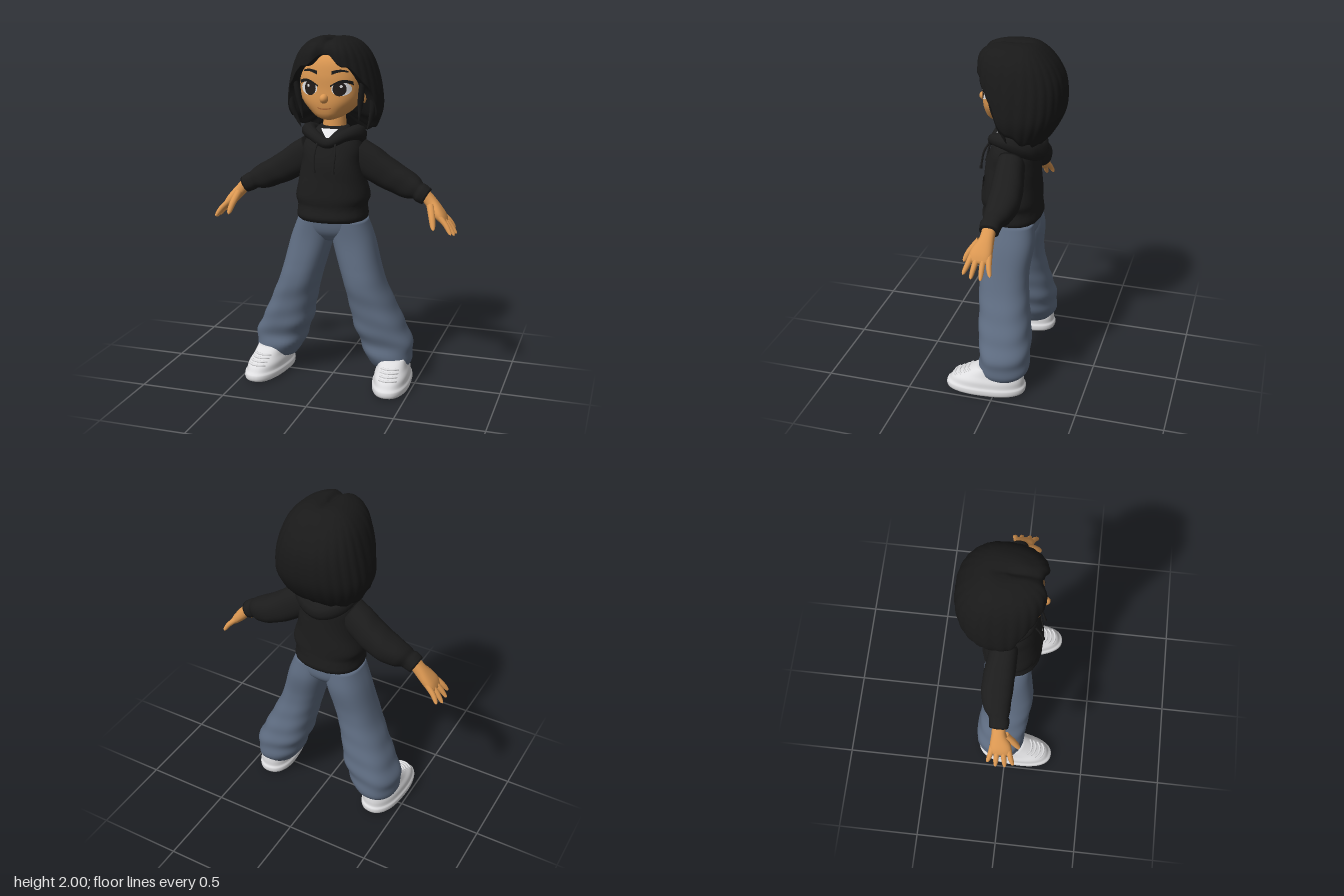
import * as THREE from 'three';

const mat = (name, color) => {
  const m = new THREE.MeshStandardMaterial({ color, side: THREE.DoubleSide });
  m.name = name;
  return m;
};
const V = (x, y, z) => new THREE.Vector3(x, y, z);
const P = 2.35; // roundness of the cross-sections

// Smooth interpolation of rows [y, cx, cz, rx, rFront, rBack] at height y
function at(keys, y) {
  const n = keys.length;
  y = THREE.MathUtils.clamp(y, keys[0][0], keys[n - 1][0]);
  let i = 0;
  while (i < n - 2 && y > keys[i + 1][0]) i++;
  const a = keys[i], b = keys[i + 1], h = b[0] - a[0], t = (y - a[0]) / h;
  const slope = (k, c) => {
    const p = keys[Math.max(0, k - 1)], q = keys[Math.min(n - 1, k + 1)];
    return (q[c] - p[c]) / (q[0] - p[0]);
  };
  return a.map((v, c) => c === 0 ? y :
    v * (1 + 2 * t) * (1 - t) ** 2 + b[c] * t * t * (3 - 2 * t) +
    h * (slope(i, c) * t * (1 - t) ** 2 - slope(i + 1, c) * t * t * (1 - t)));
}
const pw = (v) => Math.sign(v) * Math.abs(v) ** (2 / P);
function ringPoint(keys, y, a, k = 1) {
  const [, cx, cz, rx, rf, rb] = at(keys, y), c = Math.cos(a);
  return V(cx + k * rx * pw(Math.sin(a)), y, cz + k * (c > 0 ? rf : rb) * pw(c));
}
// Front surface depth of a lofted body
function front(keys, x, y) {
  const [, cx, cz, rx, rf] = at(keys, y);
  const u = Math.min(1, Math.abs((x - cx) / rx));
  return cz + rf * (1 - u ** P) ** (1 / P);
}
// Closed skin over rings listed from bottom to top
function skinOver(rings) {
  const n = rings[0].length, pts = rings.flat(), idx = [];
  for (let i = 0; i < rings.length - 1; i++) for (let j = 0; j < n; j++) {
    const k = (j + 1) % n, a = i * n + j, b = i * n + k, c = a + n, d = b + n;
    idx.push(a, b, d, a, d, c);
  }
  const centre = (r) => r.reduce((s, p) => s.add(p), V(0, 0, 0)).divideScalar(n);
  const last = (rings.length - 1) * n, lo = pts.length;
  pts.push(centre(rings[0]), centre(rings[rings.length - 1]));
  for (let j = 0; j < n; j++) {
    const k = (j + 1) % n;
    idx.push(lo, k, j, lo + 1, last + j, last + k);
  }
  const g = new THREE.BufferGeometry().setFromPoints(pts);
  g.setIndex(idx);
  g.computeVertexNormals();
  return g;
}
function loft(keys, steps = 24, n = 36, fold = () => 1) {
  const y0 = keys[0][0], y1 = keys[keys.length - 1][0];
  return skinOver(Array.from({ length: steps + 1 }, (_, i) => {
    const y = y0 + (y1 - y0) * i / steps;
    return Array.from({ length: n }, (_, j) => {
      const a = j / n * Math.PI * 2;
      return ringPoint(keys, y, a, fold(a, y));
    });
  }));
}
// Tube whose radius follows a rule along its length
function taper(points, radius, closed = false, seg = 20) {
  const curve = new THREE.CatmullRomCurve3(points, closed);
  const g = new THREE.TubeGeometry(curve, seg, 1, 10, closed), p = g.attributes.position;
  for (let i = 0; i < p.count; i++) {
    const u = Math.floor(i / 11) / seg, c = curve.getPointAt(u);
    const v = V().fromBufferAttribute(p, i).sub(c).multiplyScalar(radius(u)).add(c);
    p.setXYZ(i, v.x, v.y, v.z);
  }
  return g;
}
// Thin patch laid on the front of a lofted body; fn(u, v) gives [x, y]
function patch(keys, fn, off, nu = 24, nv = 4) {
  const g = new THREE.PlaneGeometry(1, 1, nu, nv), p = g.attributes.position, uv = g.attributes.uv;
  for (let i = 0; i < p.count; i++) {
    const [x, y] = fn(uv.getX(i), uv.getY(i));
    p.setXYZ(i, x, y, front(keys, x, y) + off);
  }
  g.computeVertexNormals();
  return g;
}
const disc = (x, y, rx, ry) => (u, v) =>
  [x + v * rx * Math.cos(u * Math.PI * 2), y + v * ry * Math.sin(u * Math.PI * 2)];
function mirror(geo) {
  const g = geo.clone().applyMatrix4(new THREE.Matrix4().makeScale(-1, 1, 1)), ix = g.index.array;
  for (let i = 0; i < ix.length; i += 3) [ix[i], ix[i + 1]] = [ix[i + 1], ix[i]];
  return g;
}

const HEAD = [[1.545, 0, .06, .03, .045, .05], [1.56, 0, .045, .07, .095, .08], [1.6, 0, 0, .125, .158, .12],
  [1.65, 0, 0, .165, .165, .15], [1.72, 0, 0, .18, .162, .17], [1.8, 0, 0, .182, .16, .18],
  [1.88, 0, 0, .165, .14, .17], [1.95, 0, 0, .1, .08, .11]];
const HAIR = [[1.44, 0, -.05, .2, .1, .12], [1.5, 0, -.05, .237, .15, .175], [1.6, 0, -.05, .268, .2, .228],
  [1.7, 0, -.05, .262, .225, .243], [1.8, 0, -.05, .24, .243, .232], [1.88, 0, -.05, .212, .245, .195],
  [1.93, 0, -.05, .182, .235, .155], [1.965, 0, -.05, .147, .205, .115], [1.985, 0, -.05, .11, .16, .08],
  [1.996, 0, -.04, .07, .1, .05], [2, 0, -.03, .01, .01, .01]];
const HAIRLINE = [[0, 1.905], [.3, 1.87], [.6, 1.825], [.85, 1.78], [1.1, 1.68], [1.3, 1.58],
  [1.6, 1.52], [2.1, 1.48], [3.15, 1.46]];
const TORSO = [[.965, 0, 0, .19, .16, .155], [.985, 0, 0, .204, .175, .168], [1.03, 0, 0, .2, .168, .165],
  [1.055, 0, 0, .2, .166, .162], [1.1, 0, 0, .214, .17, .16], [1.2, 0, 0, .192, .162, .153],
  [1.3, 0, 0, .176, .152, .152], [1.38, 0, 0, .17, .128, .147], [1.44, 0, 0, .14, .1, .12], [1.5, 0, -.01, .08, .06, .08]];
const LEG = [[.1, .348, -.02, .105, .1, .125], [.13, .343, -.02, .125, .12, .15], [.18, .333, -.02, .142, .13, .16],
  [.24, .322, -.02, .152, .125, .163], [.33, .285, -.02, .15, .145, .158], [.45, .245, -.01, .135, .142, .148],
  [.6, .195, 0, .12, .148, .137], [.7, .165, 0, .12, .14, .135], [.85, .125, 0, .12, .125, .152], [.97, .1, 0, .1, .125, .14]];
const SHOE = [[0, 0, .03, .092, .24, .18], [.012, 0, .03, .108, .263, .197], [.045, 0, .03, .11, .265, .2],
  [.055, 0, .03, .103, .252, .192], [.09, 0, .03, .098, .225, .19], [.12, 0, .03, .086, .165, .185], [.165, 0, .03, .075, .08, .16]];
const SLEEVE = [[0, 0, -.02, .09, .07, .08], [.09, .008, -.03, .094, .08, .085], [.18, .015, -.038, .088, .085, .09],
  [.29, .012, -.04, .079, .082, .088], [.37, .005, -.03, .068, .068, .072], [.405, 0, -.02, .05, .054, .056],
  [.42, 0, -.015, .054, .057, .057], [.463, 0, -.015, .049, .052, .052]];
const PALM = [[-.03, 0, -.015, .032, .036, .036], [.04, 0, -.012, .034, .04, .04], [.1, 0, 0, .032, .058, .056],
  [.14, 0, .003, .027, .062, .058], [.175, 0, .003, .015, .05, .048]];

export function createModel() {
  const model = new THREE.Group();
  const skin = mat('skin', 0xdc9852), hairMat = mat('hair black', 0x191919), cloth = mat('hoodie black', 0x1c1c1c),
    denim = mat('denim blue', 0x5f6d82), shoeMat = mat('shoe white', 0xdedee0), white = mat('white', 0xe8e8ea),
    iris = mat('eye dark', 0x221c1a), lip = mat('lip', 0xb8713c);
  const add = (name, geo, m) => {
    const mesh = new THREE.Mesh(geo, m);
    mesh.name = name;
    model.add(mesh);
  };
  const pair = (name, geo, m) => {
    add('left ' + name, geo, m);
    add('right ' + name, mirror(geo), m);
  };

  // Head, face and neck
  add('head', loft(HEAD, 30, 48), skin);
  add('neck', new THREE.CylinderGeometry(.06, .072, .2, 24).translate(0, 1.51, -.03), skin);
  add('nose', new THREE.SphereGeometry(1, 16, 12).scale(.024, .026, .032).translate(0, 1.67, .167), skin);
  pair('ear', new THREE.SphereGeometry(1, 16, 12).scale(.022, .045, .03).translate(.185, 1.68, .02), skin);
  add('mouth', patch(HEAD, (u, v) => [(u - .5) * .075, 1.612 + (v - .5) * .007 + 4 * (u - .5) ** 2 * .006], .003), lip);
  pair('eye white', patch(HEAD, disc(.092, 1.724, .052, .038), .002), white);
  pair('iris', patch(HEAD, disc(.084, 1.724, .036, .039), .004), iris);
  pair('eye glint', patch(HEAD, disc(.094, 1.738, .008, .008), .006), white);
  pair('eyelash', patch(HEAD, (u, v) =>
    [.034 + u * .118, 1.738 + Math.sin(u * 2.6) * .028 + (v - .5) * (.008 + .012 * u)], .006), hairMat);
  pair('eyebrow', patch(HEAD, (u, v) =>
    [.042 + u * .085, 1.81 + Math.sin(u * 2.6) * .012 + (v - .5) * .02 * (1 - .6 * u)], .005), hairMat);

  // Parted bob with ridged locks
  const hairEdge = HAIRLINE.map(([a, y]) => [a, y]);
  const N = 156, rings = [];
  for (let i = 0; i <= 37; i++) rings.push(Array.from({ length: N }, (_, j) => {
    const a = j / N * Math.PI * 2, s = a > Math.PI ? 2 * Math.PI - a : a, v = Math.min(1, i / 36);
    const edge = at(hairEdge, s)[1] + .012 * Math.sin(s * 13);
    const y = 2 - (2 - edge) * v ** 1.8;
    const part = Math.exp(-((s / .22) ** 2));
    const ridge = .018 * Math.min(1, v * 1.6) * (Math.abs(Math.sin(s * 13 + v)) - .5);
    const p = ringPoint(HAIR, y, a, (1 - .17 * part * v + ridge) * (i > 36 ? .84 : 1));
    if (p.z > -.12) p.y -= .025 * Math.exp(-((p.x / .022) ** 2)) * (1 - v) * Math.min(1, (p.z + .12) * 8);
    return p;
  }));
  add('hair', skinOver(rings.reverse()), hairMat);
  const lock = (...pts) => taper(pts, (u) => .002 + .016 * Math.sin(Math.PI * (.25 + .75 * u)));
  pair('front lock', lock(V(.195, 1.77, .08), V(.183, 1.68, .07), V(.172, 1.6, .055), V(.165, 1.54, .05)), hairMat);
  pair('side lock', lock(V(.235, 1.7, .03), V(.235, 1.6, .02), V(.215, 1.53, .0), V(.195, 1.48, -.01)), hairMat);

  // Hoodie body, hood, pocket and drawstrings
  add('hoodie body', loft(TORSO, 44, 48, (a, y) => 1 + (y < 1.05 ? .006 * Math.sin(a * 30) : .01 * Math.sin(a * 3 + y * 30))), cloth);
  const hood = [V(0, 1.415, .115), V(.09, 1.455, .085), V(.14, 1.465, .0), V(.1, 1.42, -.1), V(0, 1.385, -.13)];
  hood.push(...hood.slice(1, 4).reverse().map((p) => V(-p.x, p.y, p.z)));
  add('hood', taper(hood, (u) => .03 + .035 * Math.sin(Math.PI * u) ** 2, true, 60), cloth);
  add('hoodie pocket', patch(TORSO, (u, v) => [(u - .5) * (.34 - .1 * v * v), 1.065 + v * .135], .008, 24, 8), cloth);
  pair('drawstring', taper([V(.05, 1.43, .12), V(.06, 1.36, .158), V(.056, 1.3, .172), V(.055, 1.255, .18)],
    (u) => u > .9 ? .009 : .006), cloth);
  add('shirt collar', patch(TORSO, (u, v) => [(u - .5) * .1 * v, 1.435 + v * .055], .014, 8, 4), white);

  // Sleeves
  const place = (geo, angle, x, y) => geo.rotateZ(angle).translate(x, y, 0);
  pair('sleeve', place(loft(SLEEVE, 40, 32, (a, y) => 1 + (y < .4 ? .02 * Math.sin(y * 55 + a * 2) * y * 2 : 0)),
    -2.078, .14, 1.345), cloth);

  // Hands: palm, four fingers and a thumb
  const hand = (name, geo) => pair(name, place(geo, -2.42, .545, 1.12), skin);
  hand('palm', loft(PALM, 16, 24));
  const digit = (r, ...pts) => taper(pts, (u) => r * (1 - .3 * u) * Math.sqrt(Math.max(0, 1 - u ** 8)), false, 16);
  [[.045, .082, .245], [.016, .036, .264], [-.014, -.018, .266], [-.04, -.066, .24]].forEach(([z0, z1, len], i) =>
    hand('finger ' + (i + 1), digit(.018, V(0, .12, z0), V(-.004, .19, (z0 + z1) / 2), V(.004, len, z1))));
  hand('thumb', digit(.022, V(.005, .05, .025), V(.03, .11, .075), V(.058, .165, .107)));

  // Wide jeans
  add('jeans seat', loft([[.845, 0, 0, .07, .08, .1], [.9, 0, 0, .19, .12, .142], [1, 0, 0, .195, .14, .145]], 10), denim);
  pair('jeans leg', loft(LEG, 60, 40, (a, y) => {
    const low = THREE.MathUtils.clamp((.7 - y) / .5, 0, 1);
    return 1 + low * (.025 * Math.sin(y * 48 + Math.sin(a) * 2.2) + .015 * Math.sin(a * 4 + y * 14));
  }), denim);

  // Sneakers with laces
  const foot = (name, geo) => pair(name, geo.rotateY(.1).translate(.372, 0, 0), shoeMat);
  foot('sneaker', loft(SHOE, 28, 40));
  [.095, .108, .121, .134].forEach((y, i) => foot('lace ' + (i + 1),
    taper([-.05, -.025, 0, .025, .05].map((x) => V(x, y, front(SHOE, x, y))), () => .007, false, 12)));
  return model;
}
